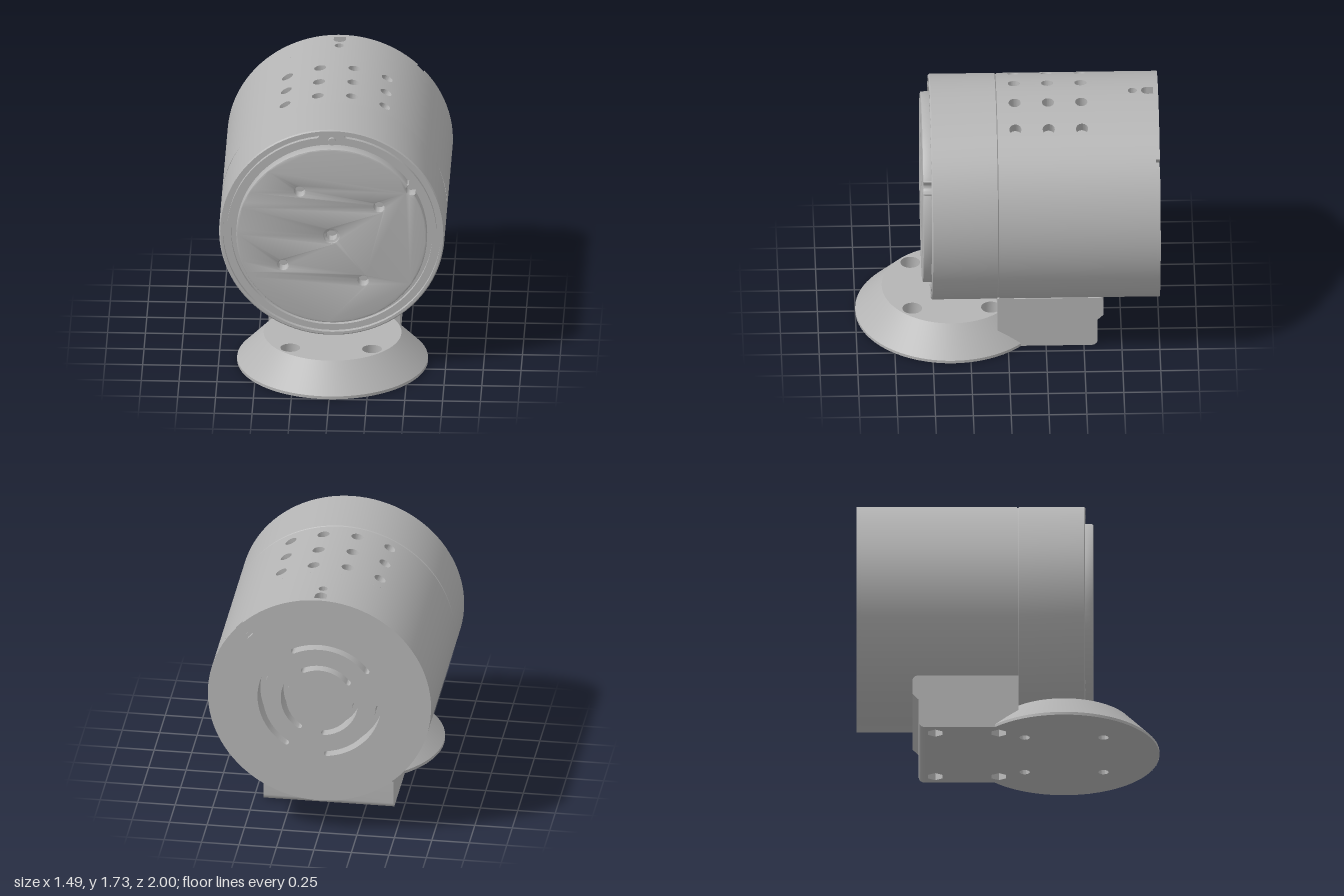
import * as THREE from 'three';
import { mergeGeometries, toCreasedNormals } from 'three/addons/utils/BufferGeometryUtils.js';

const R = 0.745, CORE = 0.665, AXIS = 0.985, PI = Math.PI, RAD = PI / 180;
const V = (x, y) => new THREE.Vector2(x, y);

// points on an arc, angles in degrees
function arc(r, a0, a1, n = 96, cx = 0, cy = 0) {
  return Array.from({ length: n + 1 }, (_, i) => {
    const a = (a0 + (a1 - a0) * i / n) * RAD;
    return V(cx + r * Math.cos(a), cy + r * Math.sin(a));
  });
}
const circle = (r, x = 0, y = 0, n = 32) => new THREE.Path(arc(r, 0, 360, n, x, y).slice(0, -1));
const arcSlot = (r, half, a0, a1) => {
  const e0 = arc(1, a0, a0, 1)[0].multiplyScalar(r), e1 = arc(1, a1, a1, 1)[0].multiplyScalar(r);
  return new THREE.Path([
    ...arc(r + half, a0, a1, 72), ...arc(half, a1, a1 + 180, 8, e1.x, e1.y).slice(1, -1),
    ...arc(r - half, a1, a0, 72), ...arc(half, a0 + 180, a0 + 360, 8, e0.x, e0.y).slice(1, -1)]);
};
function shapeOf(points, holes = []) {
  const s = new THREE.Shape(points);
  s.holes.push(...holes);
  return s;
}
// flat plate along z from z0, thickness d
function plate(points, holes, z0, d, bevel = 0) {
  const g = new THREE.ExtrudeGeometry(shapeOf(points, holes), {
    depth: d, bevelEnabled: bevel > 0, bevelSize: bevel, bevelThickness: bevel, bevelSegments: 2 });
  return toCreasedNormals(g.translate(0, 0, z0), 0.5);
}
// turned part about the z axis, profile given as [radius, z]
function turned(profile, n = 96) {
  const g = new THREE.LatheGeometry(profile.map(p => V(p[0], p[1])), n);
  return toCreasedNormals(g.rotateX(PI / 2), 0.5);
}
// plain piece of the cylindrical skin, angle measured from the top
function skinPatch(t0, t1, z0, z1) {
  const n = Math.max(4, Math.ceil((t1 - t0) / 0.06));
  return new THREE.CylinderGeometry(R, R, z0 - z1, n, 1, true, t0, t1 - t0)
    .rotateX(-PI / 2).translate(0, 0, (z0 + z1) / 2);
}
// piece of skin pierced by a hole, including the wall of the hole
function skinTile(t, z, w, h, hole) {
  const M = 48, K = 6, pos = [], idx = [];
  for (let k = 0; k <= K; k++) for (let i = 0; i <= M; i++) {
    const a = (i % M) / M * 2 * PI, c = Math.cos(a), s = Math.sin(a);
    const m = Math.max(Math.abs(c), Math.abs(s)), r = hole(c, s, m);
    const f = Math.max(0, (k - 1) / (K - 1)), rad = k === 0 ? CORE : R;
    const th = t + (1 - f) * r * c / R + f * c / m * w / 2;
    const v = (1 - f) * r * s + f * s / m * h / 2;
    pos.push(rad * Math.sin(th), rad * Math.cos(th), z - v);
    if (k < K && i < M) {
      const p = k * (M + 1) + i, q = p + M + 1;
      idx.push(p, q, q + 1, p, q + 1, p + 1);
    }
  }
  const g = new THREE.BufferGeometry();
  g.setAttribute('position', new THREE.Float32BufferAttribute(pos, 3));
  g.setIndex(idx);
  return g;
}
// join skin pieces; the outer face gets true cylinder normals
function joinSkin(parts) {
  const g = toCreasedNormals(mergeGeometries(parts.map(p => {
    const q = p.toNonIndexed();
    q.deleteAttribute('uv');
    q.deleteAttribute('normal');
    return q;
  })), 0.5);
  const p = g.attributes.position, n = g.attributes.normal;
  for (let i = 0; i < p.count; i++) {
    const x = p.getX(i), y = p.getY(i), r = Math.hypot(x, y);
    if (r > R - 0.002 && (n.getX(i) * x + n.getY(i) * y) / r > 0.6) n.setXYZ(i, x / r, y / r, 0);
  }
  return g;
}

export function createModel() {
  const model = new THREE.Group();
  const grey = new THREE.MeshStandardMaterial({ color: 0xb4b4b4, side: THREE.DoubleSide });
  grey.name = 'grey';
  const add = (parent, name, geo) => {
    const m = new THREE.Mesh(geo, grey);
    m.name = name;
    parent.add(m);
    return m;
  };

  // ---- cylindrical housing ----
  const body = new THREE.Group();
  body.name = 'housing';
  body.position.y = AXIS;
  model.add(body);

  const W = 0.306, E = 2 * W, zBack = -0.975;
  const skin = [
    skinPatch(E, 2 * PI - E, 0.06, zBack),
    skinPatch(-E, E, -0.6, -0.78),
    skinPatch(-E, -W / 2, -0.78, zBack),
    skinPatch(W / 2, E, -0.78, zBack),
    skinTile(0, -0.83, W, 0.1, () => 0.03),
    skinTile(0, -0.9275, W, 0.095, (c, s, m) => s > 0 ? 0.04 / m : 0.04),
  ];
  for (const z of [-0.05, -0.27, -0.49])
    for (let i = 0; i < 4; i++) skin.push(skinTile((i - 1.5) * W, z, W, 0.22, () => 0.04));
  add(body, 'ventedShell', joinSkin(skin));
  add(body, 'innerCore', turned([[0, 0.07], [CORE, 0.07], [CORE, -0.87], [0, -0.87]]));
  add(body, 'seamRing', turned([[0.738, 0.03], [0.738, 0.1]]));

  // back cap with three pairs of curved slots and a rim notch
  const slots = () => [0, 1, 2].flatMap(k => [0.24, 0.395].map(r =>
    arcSlot(r, 0.018, 64 + 120 * k, 143 + 120 * k)));
  const at = 44 * RAD, notch = [[R, 0.028], [0.64, 0.028], [0.64, -0.028], [R, -0.028]].map(([r, s]) =>
    V(r * Math.cos(at) - s * Math.sin(at), r * Math.sin(at) + s * Math.cos(at)));
  notch.reverse();
  const capOutline = [...arc(R, 46.5, 401.5), ...notch.slice(1, 3)];
  add(body, 'backCap', plate(capOutline, slots(), -1, 0.025));
  add(body, 'backCapLiner', plate(arc(CORE, 0, 360).slice(0, -1), slots(), zBack, 0.105));
  add(body, 'backRimLedge', new THREE.RingGeometry(0.6, R - 0.002, 96).translate(0, 0, zBack + 0.002));

  // front collar with a sealing groove and a cable notch
  add(body, 'frontCollar', turned([[0.66, 0.068], [0.739, 0.068], [R, 0.074], [R, 0.502], [0.737, 0.51]]));
  const inner = new THREE.Path([...arc(CORE, 95, 445), ...arc(0.055, 0, 180, 16, 0, 0.667)]);
  add(body, 'collarFace', plate(arc(0.737, 0, 360).slice(0, -1),
    [inner, arcSlot(0.706, 0.014, 98, 442)], 0.48, 0.03));
  add(body, 'collarFloor', new THREE.CircleGeometry(0.737, 96).translate(0, 0, 0.479));
  add(body, 'cableStub', new THREE.CylinderGeometry(0.025, 0.025, 0.025, 20)
    .rotateX(PI / 2).translate(0, 0.655, 0.49));

  // round mounting disc with screw holes and an edge notch
  const nx = 0.622 * Math.cos(33 * RAD), ny = 0.622 * Math.sin(33 * RAD);
  const discOutline = [...arc(0.62, 36.5, 389.5), ...arc(0.038, 303 - 1, 123 + 1, 12, nx, ny)];
  const screwHoles = [[-0.21, 0.32], [0.315, 0.215], [-0.32, -0.215], [0.21, -0.32]]
    .map(([x, y]) => circle(0.044, x, y));
  add(body, 'mountingDisc', plate(discOutline, [circle(0.06), ...screwHoles], 0.49, 0.065, 0.01));
  add(body, 'centreBush', turned([[0.05, 0.555], [0.036, 0.55], [0.036, 0.48]], 32));

  // ---- foot ----
  const foot = new THREE.Group();
  foot.name = 'foot';
  model.add(foot);
  const footZ = 0.37, rFoot = 0.63, rTop = 0.455, hw = 0.435;
  const boltSpots = [[-0.27, 0.26], [0.27, 0.26], [-0.27, -0.26], [0.27, -0.26]];
  const nutSpots = [[-0.34, -0.06], [0.34, -0.06], [-0.34, -0.48], [0.34, -0.48]];
  add(foot, 'footFlare', toCreasedNormals(
    new THREE.LatheGeometry([V(rFoot, 0), V(rFoot, 0.02), V(rTop, 0.2)], 96), 0.4).translate(0, 0, footZ));
  add(foot, 'footTop', new THREE.ShapeGeometry(shapeOf(arc(rTop, 0, 360).slice(0, -1),
    boltSpots.map(([x, y]) => circle(0.065, x, y)))).rotateX(-PI / 2).translate(0, 0.2, footZ));
  for (const [x, z] of boltSpots)
    add(foot, 'boltHole', toCreasedNormals(new THREE.LatheGeometry(
      [V(0.034, 0), V(0.034, 0.1), V(0.065, 0.1), V(0.065, 0.2)], 32), 0.5).translate(x, 0, footZ + z));

  // underside: round foot joined with the block
  const open = Math.asin(Math.sqrt(rFoot ** 2 - hw ** 2) / rFoot) / RAD;
  add(foot, 'underside', new THREE.ShapeGeometry(shapeOf(
    [V(-hw, -0.55), V(hw, -0.55), ...arc(rFoot, -open, 180 + open, 96, 0, footZ)],
    [...boltSpots.map(([x, z]) => circle(0.034, x, z + footZ)),
      ...nutSpots.map(([x, z]) => circle(0.055, x, z, 6))])).rotateX(PI / 2));
  for (const [x, z] of nutSpots) {
    add(foot, 'nutPocket', new THREE.CylinderGeometry(0.055, 0.055, 0.1, 6, 1, true, PI / 2)
      .toNonIndexed().translate(x, 0.05, z)).geometry.computeVertexNormals();
    add(foot, 'nutPocketFloor', new THREE.CircleGeometry(0.055, 6).rotateX(PI / 2).translate(x, 0.1, z));
  }

  // saddle block: side profile in (z, y), open underneath
  const profile = [
    ...arc(0.04, 270, 180, 6, -0.55, 0.04), V(-0.59, 0.2), V(-0.63, 0.24),
    ...arc(0.035, 180, 90, 6, -0.595, 0.34), V(0.07, 0.375), V(0.07, 0)];
  const wall = new THREE.PlaneGeometry(1, 1, 1, profile.length - 1), wp = wall.attributes.position;
  for (let i = 0; i < wp.count; i++) {
    const q = profile[i >> 1];
    wp.setXYZ(i, i % 2 ? -hw : hw, q.y, q.x);
  }
  add(foot, 'saddleBlock', toCreasedNormals(wall, 0.5));
  for (const side of [-1, 1])
    add(foot, 'saddleSide', new THREE.ShapeGeometry(shapeOf(profile))
      .rotateY(-PI / 2).translate(side * hw, 0, 0)).name = side > 0 ? 'saddleSideLeft' : 'saddleSideRight';

  return model;
}
